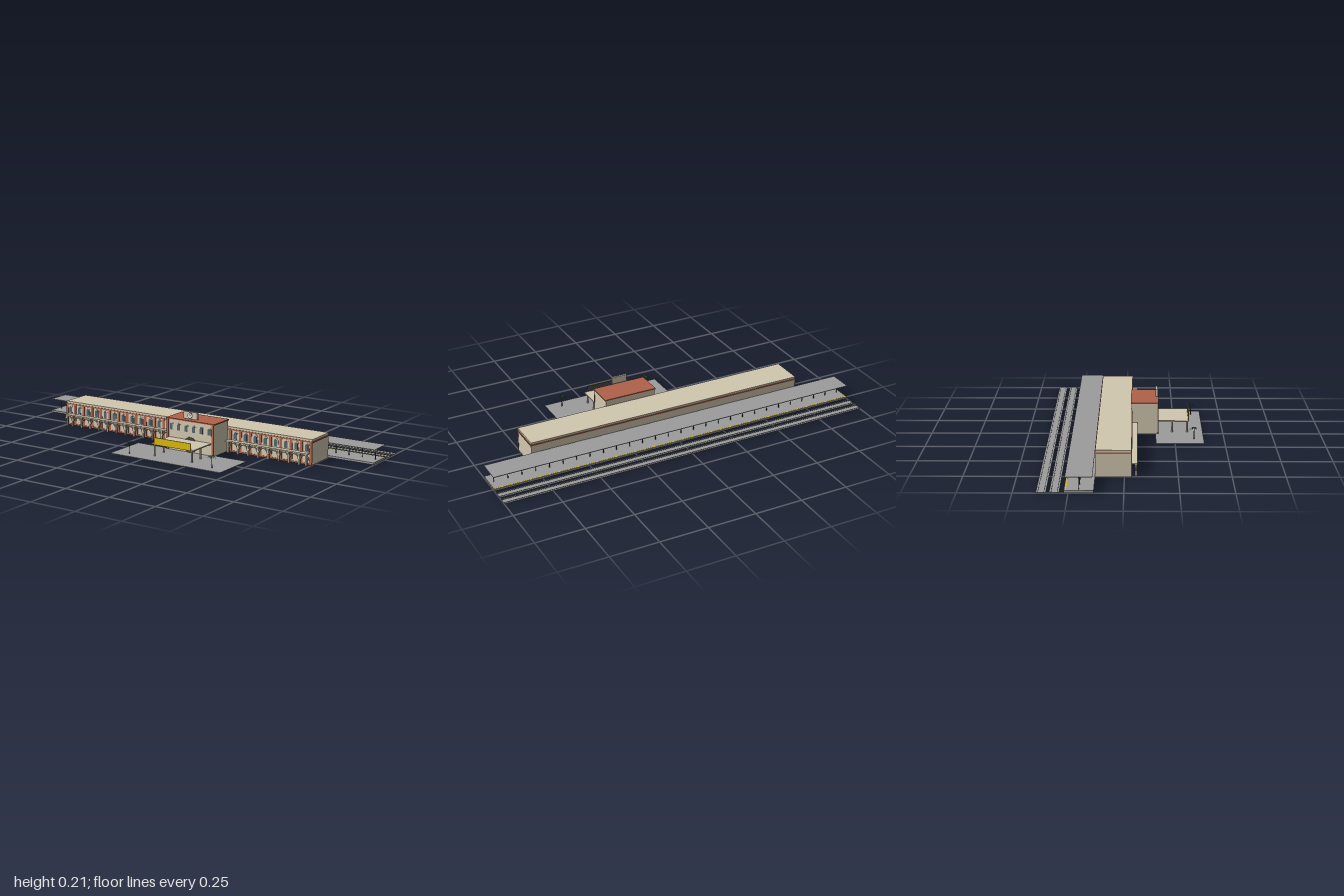
import * as THREE from 'three';

export function createModel() {
  const model = new THREE.Group();
  model.name = 'railwayStation';
  const mat = (name, color) => {
    const m = new THREE.MeshStandardMaterial({ color });
    m.name = name;
    return m;
  };
  const cream = mat('creamStone', 0xd2c8b0);
  const brick = mat('redBrick', 0xb0624a);
  const grey = mat('concrete', 0x9c9c9c);
  const steel = mat('darkSteel', 0x45494c);
  const glass = mat('windowGlass', 0x56646e);
  const yellow = mat('signYellow', 0xd9b90c);
  const leaf = mat('palmLeaf', 0x3a6b35);
  leaf.side = THREE.DoubleSide;
  const trunk = mat('palmTrunk', 0x5c5248);
  const white = mat('clockFace', 0xdedcd2);

  const add = (name, geo, m, x = 0, y = 0, z = 0, parent = model) => {
    const mesh = new THREE.Mesh(geo, m);
    mesh.name = name;
    mesh.position.set(x, y, z);
    parent.add(mesh);
    return mesh;
  };
  // Box given by its limits on each axis
  const block = (name, m, x0, x1, y0, y1, z0, z1, parent) =>
    add(name, new THREE.BoxGeometry(x1 - x0, y1 - y0, z1 - z0), m,
      (x0 + x1) / 2, (y0 + y1) / 2, (z0 + z1) / 2, parent);
  const post = (name, m, r, x, y0, y1, z, parent) =>
    add(name, new THREE.CylinderGeometry(r, r, y1 - y0, 10), m, x, (y0 + y1) / 2, z, parent);
  // Thin plate with a round head, standing on y = 0
  const archPlate = (w, h, depth) => {
    const s = new THREE.Shape();
    s.moveTo(-w / 2, 0);
    s.lineTo(w / 2, 0);
    s.lineTo(w / 2, h - w / 2);
    s.absarc(0, h - w / 2, w / 2, 0, Math.PI, false);
    s.closePath();
    return new THREE.ExtrudeGeometry(s, { depth, bevelEnabled: false, curveSegments: 8 });
  };
  const disc = (r, depth) => new THREE.CylinderGeometry(r, r, depth, 28).rotateX(Math.PI / 2);

  // Long main building
  const X0 = -0.755, X1 = 0.751, cx = 0.132;
  block('mainWalls', cream, X0, X1, 0, 0.113, -0.135, 0.032);
  block('mainCornice', brick, X0 - 0.004, X1 + 0.004, 0.112, 0.119, -0.138, 0.035);
  block('mainRoof', cream, X0, X1, 0.119, 0.129, -0.135, 0.033);
  block('wallPlinth', brick, X0, X1, 0, 0.008, 0.032, 0.035);

  // Repeated bays: pilasters, windows, arcade columns and arches
  const bays = 26, step = (X1 - X0) / bays;
  const bayGroup = new THREE.Group();
  bayGroup.name = 'facadeBays';
  model.add(bayGroup);
  const windowSurround = archPlate(0.028, 0.045, 0.002);
  const windowPane = archPlate(0.018, 0.036, 0.0015);
  const archRing = new THREE.TorusGeometry(0.023, 0.0035, 6, 12, Math.PI);
  const hidden = x => x > -0.02 && x < 0.285;
  for (let i = 0; i <= bays; i++) {
    const x = X0 + i * step;
    if (!hidden(x)) {
      const px = Math.min(Math.max(x, X0 + 0.006), X1 - 0.006);
      block('pilaster', brick, px - 0.007, px + 0.007, 0, 0.112, 0.03, 0.035, bayGroup);
      const ax = Math.min(Math.max(x, -0.736), 0.732);
      block('arcadeColumn', cream, ax - 0.004, ax + 0.004, 0, 0.056, 0.05, 0.058, bayGroup);
    }
    const mx = x + step / 2;
    if (i === bays || hidden(mx)) continue;
    add('windowSurround', windowSurround, cream, mx, 0.064, 0.032, bayGroup);
    add('windowPane', windowPane, glass, mx, 0.067, 0.034, bayGroup);
    add('arcadeArch', archRing, cream, mx, 0.029, 0.054, bayGroup);
  }
  block('arcadeRoof', cream, -0.742, 0.738, 0.056, 0.062, 0.03, 0.06);

  // Central pavilion
  block('pavilionWalls', cream, -0.007, 0.271, 0, 0.161, 0.03, 0.165);
  block('pavilionRoof', brick, -0.011, 0.275, 0.16, 0.166, 0.027, 0.168);
  for (const s of [-1, 1]) {
    const x = cx + s * 0.134;
    block('cornerPilaster', brick, x - 0.006, x + 0.006, 0, 0.16, 0.162, 0.168);
  }
  const tallSurround = archPlate(0.026, 0.04, 0.0015);
  const tallPane = archPlate(0.017, 0.033, 0.0015);
  for (let i = 0; i < 6; i++) {
    const x = cx + (i - 2.5) * 0.045;
    add('pavilionWindowSurround', tallSurround, cream, x, 0.104, 0.165);
    add('pavilionWindowPane', tallPane, glass, x, 0.107, 0.1665);
  }
  add('entranceRoundel', disc(0.04, 0.004), steel, cx, 0.041, 0.166);

  // Roof clock
  block('clockBox', cream, 0.091, 0.173, 0.174, 0.211, 0.154, 0.165);
  add('clockRim', disc(0.015, 0.002), steel, cx, 0.1925, 0.1655);
  add('clockFace', disc(0.0125, 0.002), white, cx, 0.1925, 0.1662);
  block('minuteHand', steel, cx - 0.0008, cx + 0.0008, 0.1925, 0.203, 0.167, 0.1678);
  block('hourHand', steel, cx, cx + 0.007, 0.1917, 0.1933, 0.167, 0.1678);

  // Entrance canopy with its sign board
  block('entranceCanopy', cream, 0.006, 0.257, 0.061, 0.067, 0.165, 0.323);
  for (const x of [0.022, 0.242])
    for (const z of [0.239, 0.316]) post('canopyColumn', cream, 0.0045, x, 0.002, 0.061, z);
  block('signBoard', yellow, 0.023, 0.24, 0.062, 0.099, 0.323, 0.326);
  block('signBack', steel, 0.023, 0.24, 0.067, 0.099, 0.322, 0.323);

  // Forecourt and palms
  block('forecourt', grey, -0.195, 0.455, 0, 0.003, 0.153, 0.396);
  const frond = new THREE.BufferGeometry();
  frond.setAttribute('position', new THREE.Float32BufferAttribute([
    0, 0.062, 0, 0.012, 0.063, 0.003, 0.012, 0.063, -0.003, 0.024, 0.053, 0], 3));
  frond.setIndex([0, 1, 2, 1, 3, 2]);
  frond.computeVertexNormals();
  for (const x of [-0.112, 0.377]) {
    const palm = new THREE.Group();
    palm.name = 'palm';
    palm.position.set(x, 0, 0.347);
    model.add(palm);
    add('palmTrunk', new THREE.CylinderGeometry(0.0015, 0.0025, 0.06, 7), trunk, 0, 0.032, 0, palm);
    for (let i = 0; i < 10; i++)
      add('palmFrond', frond, leaf, 0, 0, 0, palm).rotation.y = i * Math.PI / 5;
  }

  // Platform with its shelter
  block('platform', grey, -1, 1, 0.002, 0.012, -0.269, -0.135);
  block('platformEdgeLine', yellow, -1, 1, 0.012, 0.0126, -0.264, -0.259);
  block('shelterRoof', grey, -1, 1, 0.073, 0.076, -0.264, -0.141);
  for (let i = 0; i < 28; i++)
    post('shelterPost', steel, 0.002, -0.978 + i * 0.0724, 0.012, 0.073, -0.202);

  // Two tracks
  for (const z of [-0.312, -0.3715]) {
    block('trackBed', grey, -1, 1, 0.001, 0.004, z - 0.0225, z + 0.0225);
    for (const s of [-1, 1])
      block('rail', steel, -1, 1, 0.004, 0.0055, z + s * 0.014 - 0.001, z + s * 0.014 + 0.001);
  }
  return model;
}
